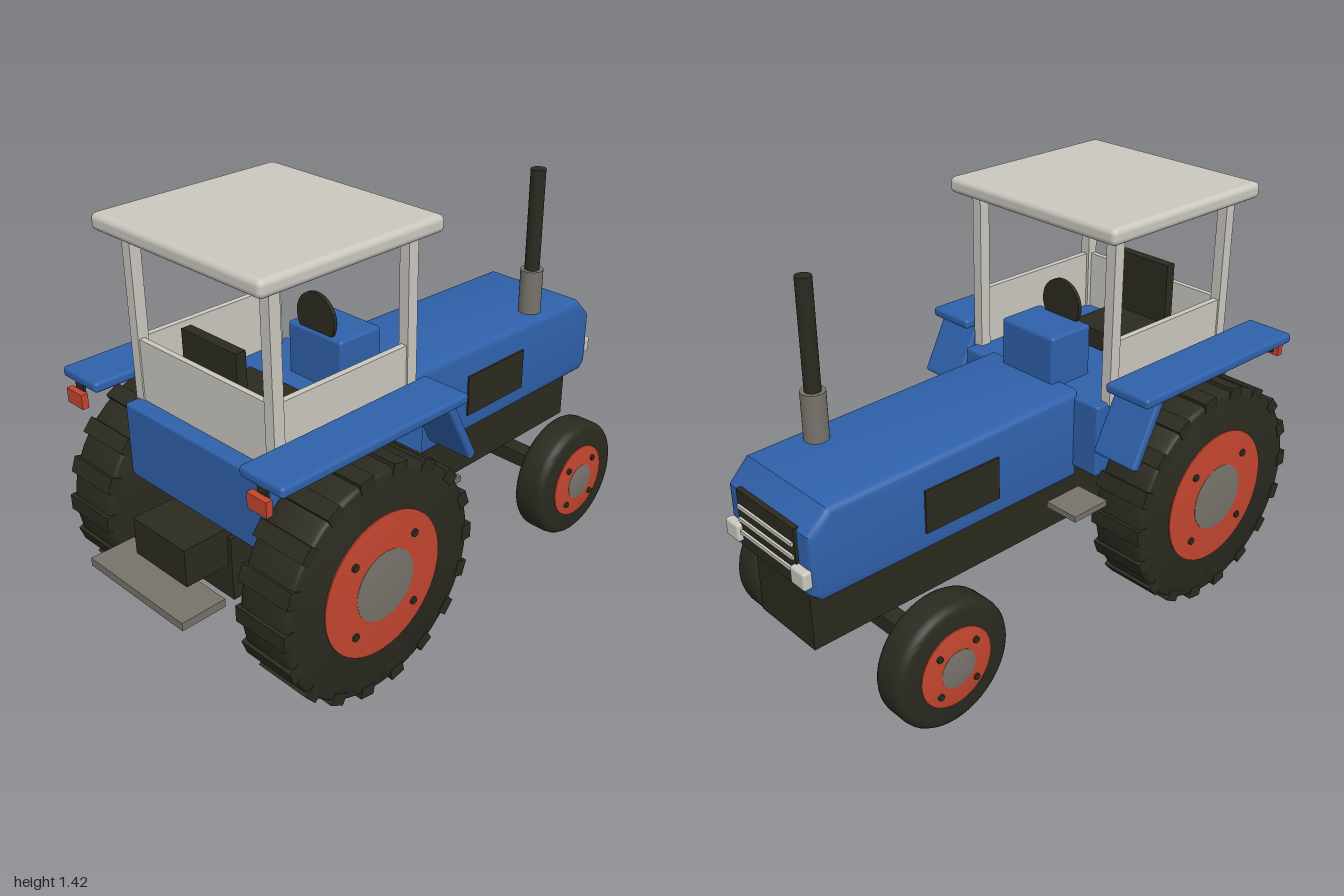
import * as THREE from 'three';
import { toCreasedNormals } from 'three/addons/utils/BufferGeometryUtils.js';
import { RoundedBoxGeometry } from 'three/addons/geometries/RoundedBoxGeometry.js';

const paint = (name, color) => {
  const m = new THREE.MeshStandardMaterial({ color });
  m.name = name;
  return m;
};

export function createModel() {
  const blue = paint('blue paint', 0x2f61ab);
  const dark = paint('dark rubber and iron', 0x2b2a20);
  const red = paint('red rim', 0xc4462f);
  const grey = paint('grey metal', 0x78736b);
  const cream = paint('light cab', 0xcbc8bf);

  const model = new THREE.Group();
  model.name = 'tractor';

  const add = (name, geometry, material, parent = model) => {
    const mesh = new THREE.Mesh(geometry, material);
    mesh.name = name;
    parent.add(mesh);
    return mesh;
  };
  // Box given by its extents on each axis, optionally with rounded edges
  const box = (name, mat, [x0, x1], [y0, y1], [z0, z1], r = 0) => {
    const s = [x1 - x0, y1 - y0, z1 - z0];
    const g = r ? new RoundedBoxGeometry(...s, 3, r) : new THREE.BoxGeometry(...s);
    g.translate((x0 + x1) / 2, (y0 + y1) / 2, (z0 + z1) / 2);
    return add(name, g, mat);
  };
  // Same box on both sides of the tractor
  const pair = (name, mat, x, y, [z0, z1], r) => {
    box(name + 'Left', mat, x, y, [-z1, -z0], r);
    box(name + 'Right', mat, x, y, [z0, z1], r);
  };
  // Turned part with its axis along z
  const turned = (points, segments = 48) => {
    const g = new THREE.LatheGeometry(points.map(([r, z]) => new THREE.Vector2(r, z)), segments);
    return toCreasedNormals(g.rotateX(Math.PI / 2), 0.6);
  };

  // Hood: side outline extruded across the width with rounded edges
  const outline = new THREE.Shape([
    [-0.08, 0.525], [0.93, 0.525], [0.945, 0.54], [0.945, 0.72], [0.89, 0.777], [-0.08, 0.8],
  ].map(([x, y]) => new THREE.Vector2(x, y)));
  const hood = new THREE.ExtrudeGeometry(outline, {
    depth: 0.384, bevelThickness: 0.025, bevelSize: 0.025, bevelSegments: 3,
  });
  hood.translate(0, 0, -0.192);
  add('hood', toCreasedNormals(hood, 0.6), blue);
  pair('hoodSidePanel', dark, [0.26, 0.56], [0.57, 0.72], [0.216, 0.224]);

  // Nose: grille, bars and headlights
  box('grille', dark, [0.96, 0.979], [0.54, 0.74], [-0.15, 0.15]);
  for (const y of [0.595, 0.64, 0.685])
    box('grilleBar', cream, [0.97, 0.987], [y - 0.006, y + 0.006], [-0.142, 0.142]);
  pair('headlight', cream, [0.965, 0.997], [0.56, 0.62], [0.138, 0.208], 0.008);

  // Chassis, axles, hitch and steps
  box('chassis', dark, [-0.74, 0.94], [0.285, 0.51], [-0.142, 0.142]);
  box('rearHousing', dark, [-0.9, -0.7], [0.41, 0.54], [-0.125, 0.125]);
  box('frontAxle', dark, [0.607, 0.673], [0.207, 0.263], [-0.34, 0.34]);
  box('rearAxle', dark, [-0.53, -0.42], [0.35, 0.46], [-0.34, 0.34]);
  box('hitchPlate', grey, [-1, -0.84], [0.362, 0.39], [-0.228, 0.228]);
  pair('step', grey, [-0.09, 0.06], [0.457, 0.478], [0.238, 0.368]);

  // Cab base, dashboard, seat and steering wheel
  box('cabBase', blue, [-0.76, -0.08], [0.55, 0.81], [-0.322, 0.322], 0.01);
  box('dashboard', blue, [-0.25, -0.07], [0.75, 0.99], [-0.122, 0.122], 0.012);
  box('seatCushion', dark, [-0.66, -0.41], [0.8, 0.88], [-0.125, 0.125]);
  box('seatBack', dark, [-0.667, -0.63], [0.85, 1.098], [-0.125, 0.125]);
  const steering = new THREE.CylinderGeometry(0.085, 0.085, 0.014, 32).rotateZ(Math.PI / 2);
  add('steeringWheel', steering, dark).position.set(-0.235, 1.035, 0);

  // Cab walls, posts and roof
  pair('cabSideWall', cream, [-0.69, -0.14], [0.8, 1.02], [0.3, 0.322]);
  box('cabRearWall', cream, [-0.705, -0.685], [0.8, 1.02], [-0.322, 0.322]);
  for (const x of [-0.69, -0.148])
    pair('cabPost', cream, [x - 0.02, x + 0.02], [0.8, 1.385], [0.29, 0.328]);
  box('roof', cream, [-0.78, -0.065], [1.37, 1.426], [-0.378, 0.378], 0.02);

  // Fenders with sloping front flaps and tail lights
  pair('fender', blue, [-0.85, -0.095], [0.867, 0.902], [0.335, 0.515], 0.012);
  for (const side of [-1, 1]) {
    const flap = add('fenderFlap', new RoundedBoxGeometry(0.24, 0.032, 0.176, 3, 0.01), blue);
    flap.position.set(-0.113, 0.769, side * 0.425);
    flap.rotation.z = -1.1;
  }
  pair('tailLight', red, [-0.869, -0.846], [0.8, 0.85], [0.39, 0.47]);
  pair('tailLightBracket', dark, [-0.848, -0.838], [0.81, 0.875], [0.41, 0.45]);

  // Exhaust
  const stack = (name, r, y0, y1, mat) =>
    add(name, new THREE.CylinderGeometry(r, r, y1 - y0, 28), mat).position.set(0.69, (y0 + y1) / 2, 0.14);
  stack('muffler', 0.041, 0.79, 0.97, grey);
  stack('exhaustPipe', 0.027, 0.95, 1.34, dark);

  // Wheels, built around z = 0 with the outer face toward +z
  const wheel = (name, { r, half, round, rim, cap, boltRing, boltSize, bulge, lugs }) => {
    const g = new THREE.Group();
    g.name = name;
    const profile = [[0, -half], [r - round, -half]];
    for (let i = 1; i <= 4; i++) {
      const a = (i / 4) * Math.PI / 2;
      profile.push([r - round + round * Math.sin(a), -half + round * (1 - Math.cos(a))]);
    }
    const mirrored = profile.map(([x, z]) => [x, -z]).reverse();
    add('tire', turned([...profile, ...mirrored]), dark, g);
    add('rim', turned([[rim, half - 0.02], [rim, half + 0.004], [rim * 0.75, half + bulge * 0.7],
      [cap, half + bulge], [0, half + bulge]]), red, g);
    add('hubCap', turned([[cap, half], [cap, half + bulge + 0.001], [cap * 0.7, half + bulge + 0.004],
      [0, half + bulge + 0.006]]), grey, g);
    for (let i = 0; i < 4; i++) {
      const a = Math.PI / 4 + i * Math.PI / 2;
      const bolt = new THREE.CylinderGeometry(boltSize, boltSize, 0.02, 12).rotateX(Math.PI / 2);
      add('bolt', bolt, dark, g)
        .position.set(Math.cos(a) * boltRing, Math.sin(a) * boltRing, half + bulge - 0.006);
    }
    for (let i = 0; i < lugs; i++) {
      const a = (i / lugs) * Math.PI * 2;
      const lug = add('treadLug', new THREE.BoxGeometry(0.04, 0.055, half * 2 + 0.004), dark, g);
      lug.position.set(Math.cos(a) * (r - 0.01), Math.sin(a) * (r - 0.01), 0);
      lug.rotation.z = a;
    }
    return g;
  };
  const rear = { r: 0.39, half: 0.102, round: 0.02, rim: 0.243, cap: 0.12, boltRing: 0.178,
    boltSize: 0.013, bulge: 0.01, lugs: 18 };
  const front = { r: 0.22, half: 0.062, round: 0.03, rim: 0.137, cap: 0.066, boltRing: 0.1,
    boltSize: 0.011, bulge: 0.012, lugs: 0 };
  for (const side of [1, -1]) {
    const label = side > 0 ? 'Right' : 'Left';
    const back = wheel('rearWheel' + label, rear);
    back.position.set(-0.474, 0.405, side * 0.421);
    const fore = wheel('frontWheel' + label, front);
    fore.position.set(0.64, 0.235, side * 0.38);
    if (side < 0) back.rotation.x = fore.rotation.x = Math.PI;
    model.add(back, fore);
  }
  return model;
}
